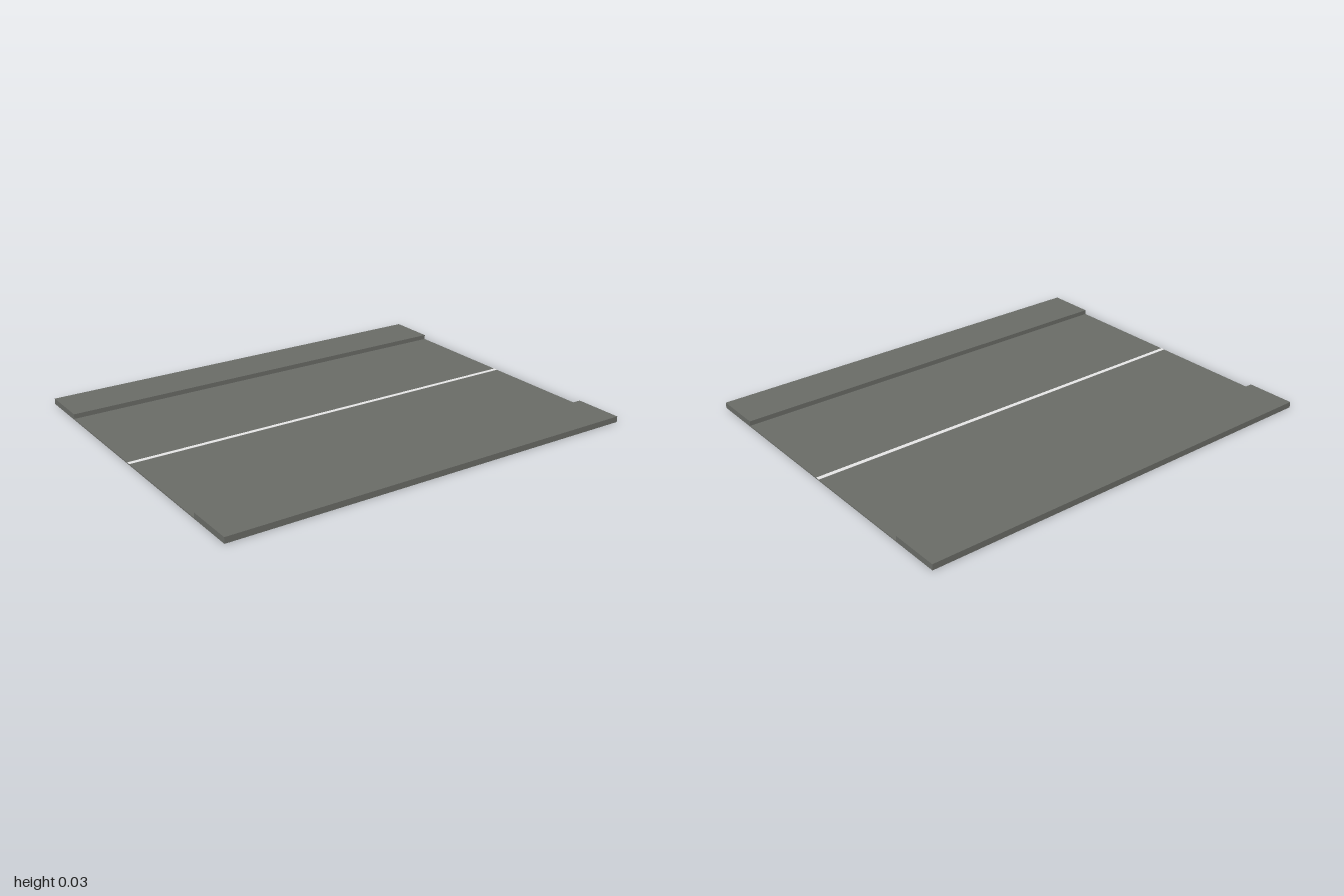
import * as THREE from 'three';

export function createModel() {
  const group = new THREE.Group();
  const asphalt = new THREE.MeshStandardMaterial({ color: 0x696b66 });
  asphalt.name = 'asphalt grey';
  const paint = new THREE.MeshStandardMaterial({ color: 0xe4e4e4 });
  paint.name = 'line white';

  const length = 2, halfWidth = 0.805, kerb = 0.574;
  const roadTop = 0.005, pavementTop = 0.027;

  // Box spanning the full length, placed by its bottom height
  function slab(name, material, bottom, height, z, depth) {
    const mesh = new THREE.Mesh(new THREE.BoxGeometry(length, height, depth), material);
    mesh.name = name;
    mesh.position.set(0, bottom + height / 2, z);
    group.add(mesh);
  }

  // Thin carriageway between the kerbs
  slab('roadway', asphalt, 0, roadTop, 0, kerb * 2);

  // Raised pavements along both edges
  for (const [name, side] of [['frontPavement', 1], ['backPavement', -1]]) {
    slab(name, asphalt, 0, pavementTop, side * (kerb + halfWidth) / 2, halfWidth - kerb);
  }

  // Painted centre line
  slab('centreLine', paint, roadTop, 0.001, -0.003, 0.02);

  return group;
}
